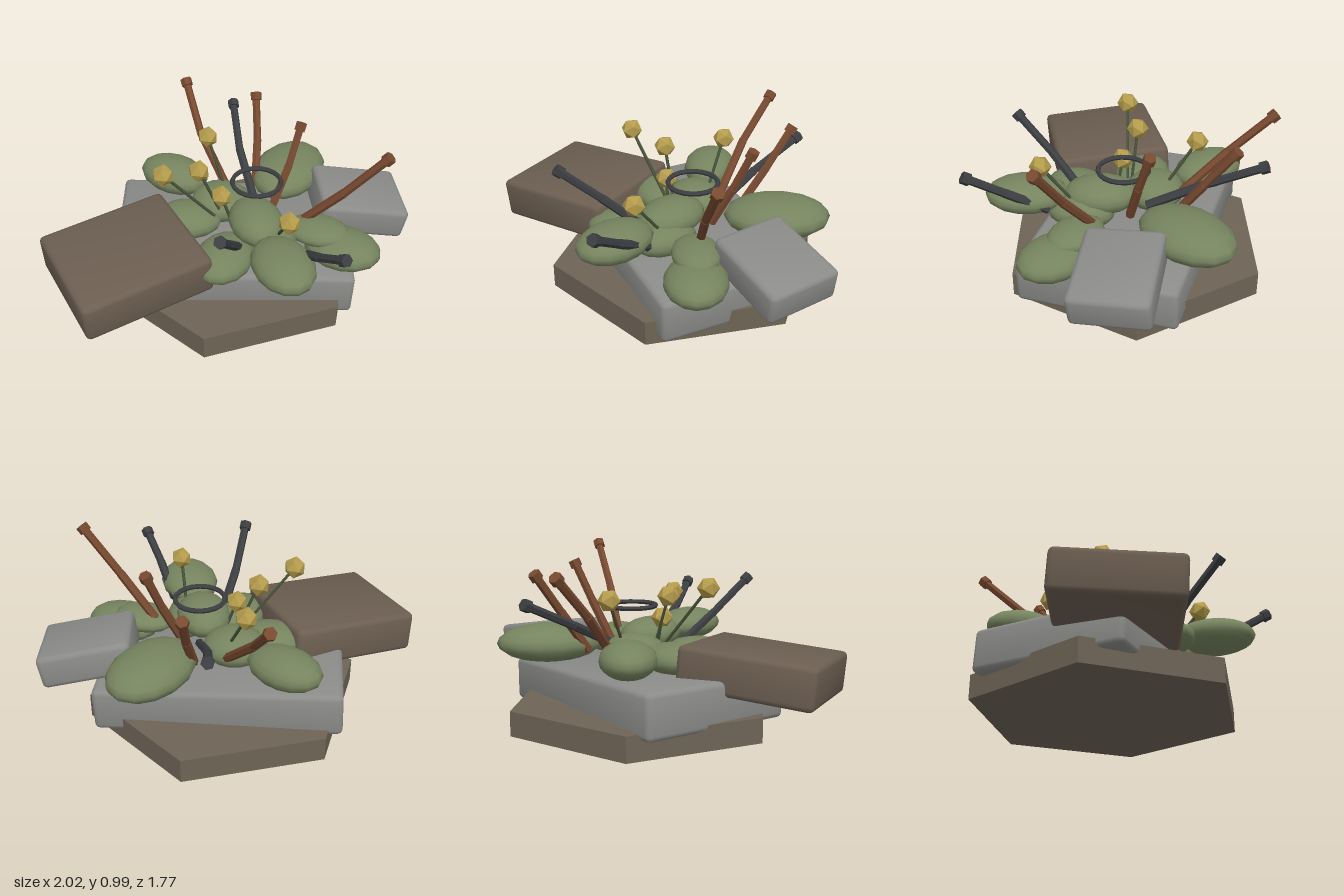
import * as THREE from 'three';
import { RoundedBoxGeometry } from 'three/addons/geometries/RoundedBoxGeometry.js';

const mat = (name, color, flatShading = false) => {
  const m = new THREE.MeshStandardMaterial({ color, flatShading });
  m.name = name;
  return m;
};
const V = (a) => new THREE.Vector3(...a);

export function createModel() {
  const model = new THREE.Group();
  const earth = mat('earth', 0x6e6456, true);
  const brownStone = mat('brown stone', 0x6c5e51);
  const greyStone = mat('grey stone', 0x8b8b89);
  const moss = mat('moss green', 0x76845f);
  const rust = mat('rust', 0x774930, true);
  const iron = mat('dark iron', 0x3c3e42, true);
  const yellow = mat('bud yellow', 0xb49c4c, true);
  const stemGreen = mat('stem green', 0x465239);

  const add = (name, geometry, material, pos = [0, 0, 0], parent = model) => {
    const mesh = new THREE.Mesh(geometry, material);
    mesh.name = name;
    mesh.position.set(...pos);
    parent.add(mesh);
    return mesh;
  };
  const up = new THREE.Vector3(0, 1, 0);

  // Straight rod between two points
  const rod = (name, a, b, radius, material, sides, parent) => {
    const dir = b.clone().sub(a);
    const mesh = add(name, new THREE.CylinderGeometry(radius, radius, dir.length(), sides), material,
      a.clone().add(b).multiplyScalar(0.5).toArray(), parent);
    mesh.quaternion.setFromUnitVectors(up, dir.normalize());
    return mesh;
  };

  // Hexagonal ground plate
  add('basePlate', new THREE.CylinderGeometry(0.785, 0.785, 0.14, 6), earth, [0.005, 0.07, -0.105]);

  // Worn slabs, turned about y and tipped towards a normal, with pillowy shading
  const slab = (name, size, pos, turn, normal, material) => {
    const geo = new RoundedBoxGeometry(...size, 2, 0.03);
    const p = geo.attributes.position, n = geo.attributes.normal, v = new THREE.Vector3();
    for (let i = 0; i < p.count; i++) {
      v.set(p.getX(i) / size[0], p.getY(i) / size[1], p.getZ(i) / size[2]).multiplyScalar(0.5);
      v.x += n.getX(i); v.y += n.getY(i); v.z += n.getZ(i);
      v.normalize();
      n.setXYZ(i, v.x, v.y, v.z);
    }
    const mesh = add(name, geo, material, pos);
    mesh.quaternion.setFromUnitVectors(up, V(normal).normalize())
      .multiply(new THREE.Quaternion().setFromAxisAngle(up, turn));
  };
  slab('lowerSlab', [1.36, 0.25, 0.91], [0.01, 0.2, -0.1], 0.2, [0.04, 1, 0.01], greyStone);
  slab('brownSlab', [0.76, 0.235, 0.67], [-0.5, 0.355, 0.39], 0.7, [-0.02, 1, 0.09], brownStone);
  slab('sideSlab', [0.52, 0.19, 0.43], [0.71, 0.395, -0.4], 0.32, [0.2, 1, 0], greyStone);

  // Moss cushions: centre, radii, turn about y
  const cushions = [
    [[0.27, 0.45, -0.57], [0.3, 0.11, 0.21], 1.3],
    [[-0.41, 0.46, -0.37], [0.225, 0.1, 0.155], -0.4],
    [[-0.08, 0.43, -0.19], [0.18, 0.1, 0.17], 0.3],
    [[-0.24, 0.4, -0.02], [0.2, 0.09, 0.16], 0.2],
    [[0.17, 0.47, 0.02], [0.21, 0.1, 0.155], -1.1],
    [[0.03, 0.365, 0.25], [0.22, 0.09, 0.165], 1.4],
    [[0.38, 0.475, 0.38], [0.235, 0.095, 0.17], -1.05],
    [[0.67, 0.345, 0.01], [0.225, 0.095, 0.175], -0.25],
    [[0.52, 0.42, -0.03], [0.185, 0.065, 0.135], -0.15],
    [[0.29, 0.4, 0.08], [0.19, 0.09, 0.12], -1.2],
  ];
  for (const [pos, radii, turn] of cushions) {
    const geo = new THREE.SphereGeometry(1, 14, 10).scale(...radii);
    add('mossCushion', geo, moss, pos).rotation.y = turn;
  }

  // Bent nails with hexagonal heads: foot, tip, sideways bend of the middle
  const nails = [
    ['rustyNail', rust, [-0.08, 0.44, -0.34], [-0.42, 0.91, -0.76], [-0.03, 0, 0.01]],
    ['rustyNail', rust, [0.09, 0.42, -0.4], [0.03, 0.88, -0.73], [0.012, 0, 0]],
    ['rustyNail', rust, [0.23, 0.43, -0.2], [0.358, 0.905, -0.385], [0.012, 0, 0]],
    ['rustyNail', rust, [0.42, 0.44, -0.08], [0.88, 0.965, -0.03], [0, -0.01, 0.015]],
    ['ironBolt', iron, [0.11, 0.44, -0.24], [-0.135, 0.74, -0.84], [-0.02, 0, 0.01]],
    ['ironBolt', iron, [0.11, 0.38, 0.16], [0.09, 0.79, 0.64], [-0.015, 0, 0]],
    ['ironBolt', iron, [0.42, 0.44, 0.21], [0.72, 0.7, 0.55], [0, 0, 0.015]],
  ];
  for (const [name, material, foot, tip, bend] of nails) {
    const g = new THREE.Group();
    g.name = name;
    model.add(g);
    const a = V(foot), b = V(tip), mid = a.clone().lerp(b, 0.5).add(V(bend));
    const neck = b.clone().add(mid.clone().sub(b).setLength(0.045));
    rod('shankLower', a, mid, 0.026, material, 6, g);
    rod('shankUpper', mid, b, 0.024, material, 6, g);
    rod('head', neck, b, 0.035, material, 6, g);
  }

  // Yellow buds on thin stems: stem foot, bud centre
  const buds = [
    [[-0.08, 0.45, -0.01], [-0.335, 0.795, 0.135]],
    [[-0.07, 0.48, -0.26], [-0.2, 0.74, -0.39]],
    [[-0.06, 0.47, -0.05], [-0.17, 0.74, -0.025]],
    [[0.02, 0.44, 0], [-0.037, 0.6, -0.002]],
    [[0.31, 0.47, 0.12], [0.39, 0.68, 0.275]],
  ];
  for (const [foot, top] of buds) {
    rod('budStem', V(foot), V(top), 0.009, stemGreen, 6, model);
    add('bud', new THREE.IcosahedronGeometry(0.063, 0), yellow, top).rotation.z = Math.PI / 2;
  }

  // Loose iron ring lying level above the moss
  add('ironRing', new THREE.TorusGeometry(0.14, 0.014, 6, 20), iron, [0.147, 0.65, -0.11])
    .rotation.x = Math.PI / 2;

  return model;
}
